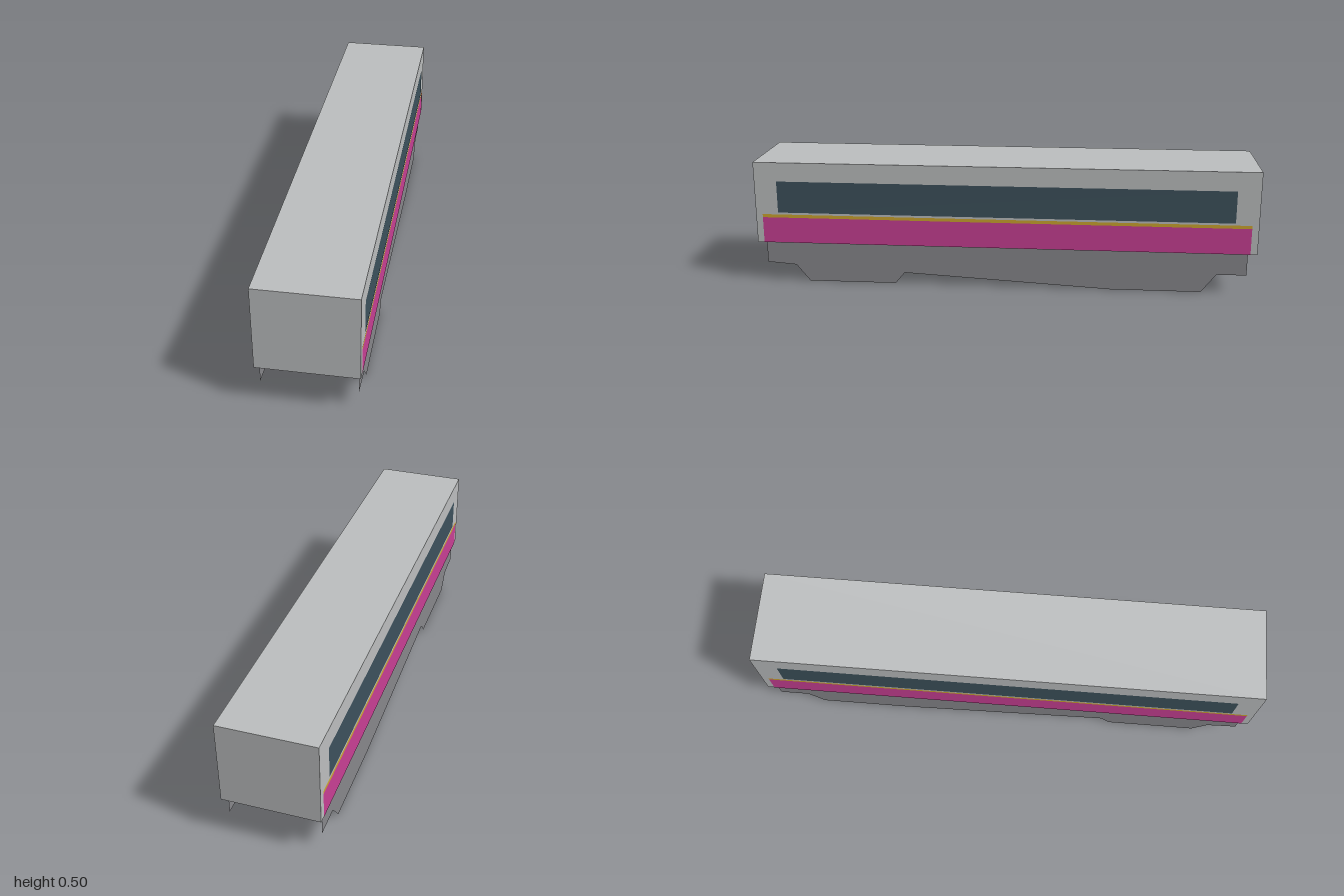
import * as THREE from 'three';

const paint = (name, color, side = THREE.FrontSide) => {
  const m = new THREE.MeshStandardMaterial({ color, side });
  m.name = name;
  return m;
};

export function createModel() {
  const model = new THREE.Group();
  model.name = 'railCar';

  const silver = paint('silver', 0xbcbebf);
  const glass = paint('darkGlass', 0x3c515c);
  const yellow = paint('yellow', 0xcda52f);
  const pink = paint('pink', 0xc83f94);
  const grey = paint('underframeGrey', 0x87878b, THREE.DoubleSide);

  const HALF = 0.184, FLOOR = 0.165, ROOF = 0.498;

  const add = (name, geometry, material, x, y, z) => {
    const mesh = new THREE.Mesh(geometry, material);
    mesh.name = name;
    mesh.position.set(x, y, z);
    model.add(mesh);
  };

  // Car body
  add('body', new THREE.BoxGeometry(HALF * 2, ROOF - FLOOR, 2), silver, 0, (ROOF + FLOOR) / 2, 0);

  // Painted side panels: name, material, bottom, top, half length
  const panels = [
    ['WindowBand', glass, 0.292, 0.421, 0.909],
    ['YellowStripe', yellow, 0.271, 0.284, 0.973],
    ['PinkBand', pink, FLOOR + 0.001, 0.271, 0.973],
  ];

  // Underframe skirt outline as (z, y)
  const outline = [
    [0.967, FLOOR], [0.967, 0.077], [0.85, 0.068], [0.795, 0], [0.44, 0],
    [0.402, 0.046], [-0.43, 0], [-0.79, 0], [-0.848, 0.075], [-0.965, 0.075], [-0.965, FLOOR],
  ];

  // Both sides, each facing outwards
  for (const [side, s] of [['left', 1], ['right', -1]]) {
    for (const [name, material, y0, y1, halfLength] of panels) {
      const plate = new THREE.PlaneGeometry(halfLength * 2, y1 - y0).rotateY(s * Math.PI / 2);
      add(side + name, plate, material, s * (HALF + 0.001), (y0 + y1) / 2, 0);
    }
    const shape = new THREE.Shape(outline.map(([z, y]) => new THREE.Vector2(-s * z, y)));
    const skirt = new THREE.ShapeGeometry(shape).rotateY(s * Math.PI / 2);
    add(side + 'Skirt', skirt, grey, s * 0.173, 0, 0);
  }

  return model;
}
